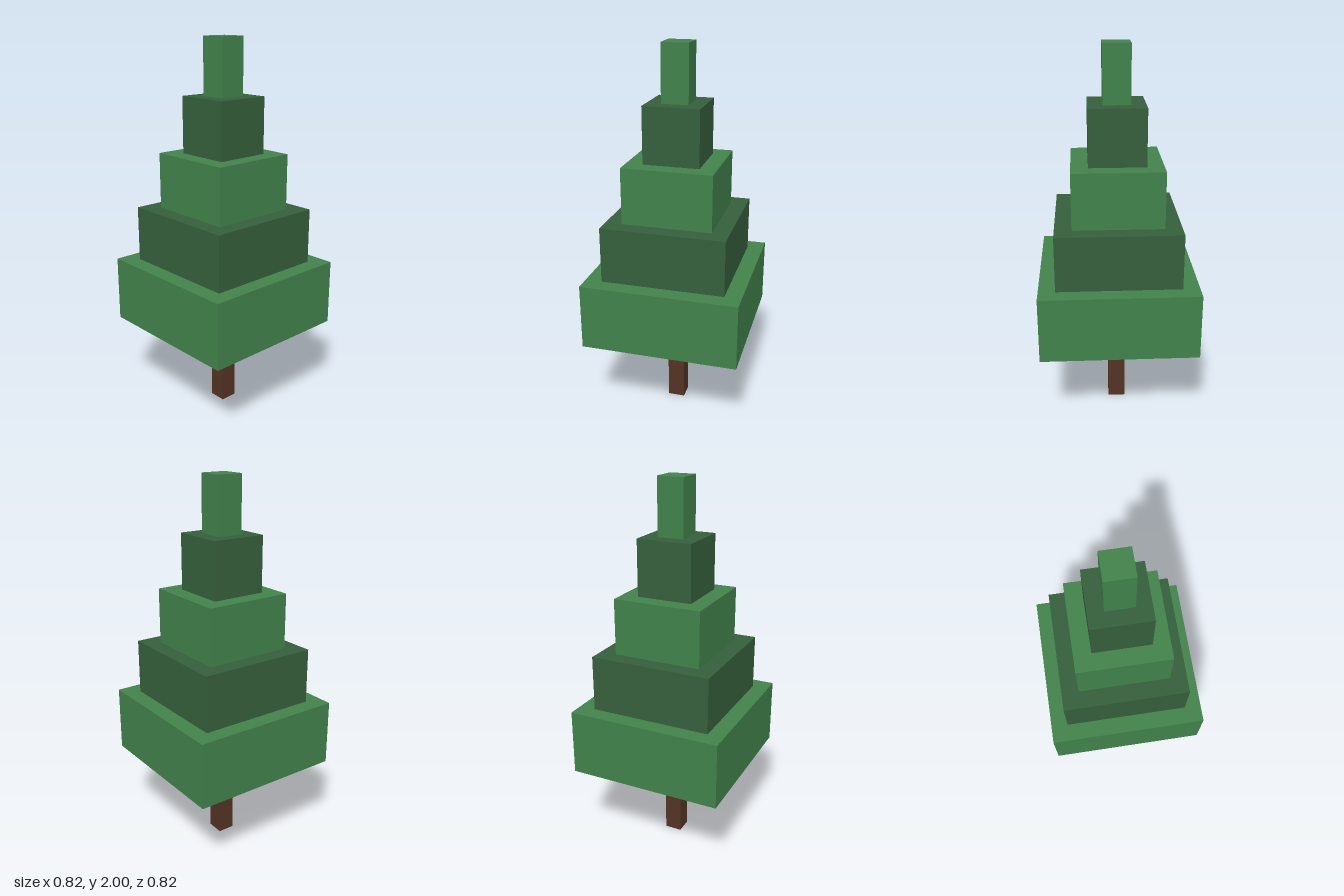
import * as THREE from 'three';

export function createModel() {
  const tree = new THREE.Group();
  tree.name = 'blockTree';

  const material = (name, color) => {
    const m = new THREE.MeshStandardMaterial({ color });
    m.name = name;
    return m;
  };
  const lightGreen = material('light green', 0x41824b);
  const darkGreen = material('dark green', 0x355f3b);
  const brown = material('bark brown', 0x533323);

  // Square block centred on the trunk axis, between two heights
  const addBlock = (name, width, bottom, top, mat) => {
    const mesh = new THREE.Mesh(new THREE.BoxGeometry(width, top - bottom, width), mat);
    mesh.position.y = (bottom + top) / 2;
    mesh.name = name;
    tree.add(mesh);
  };

  // Trunk
  addBlock('trunk', 0.092, 0, 0.474, brown);

  // Foliage tiers, widest at the bottom, in alternating greens
  const widths = [0.82, 0.645, 0.469, 0.293, 0.141];
  const levels = [0.474, 0.823, 1.117, 1.412, 1.706, 2];
  widths.forEach((width, i) => {
    addBlock(`foliageTier${i + 1}`, width, levels[i], levels[i + 1], i % 2 ? darkGreen : lightGreen);
  });

  return tree;
}
